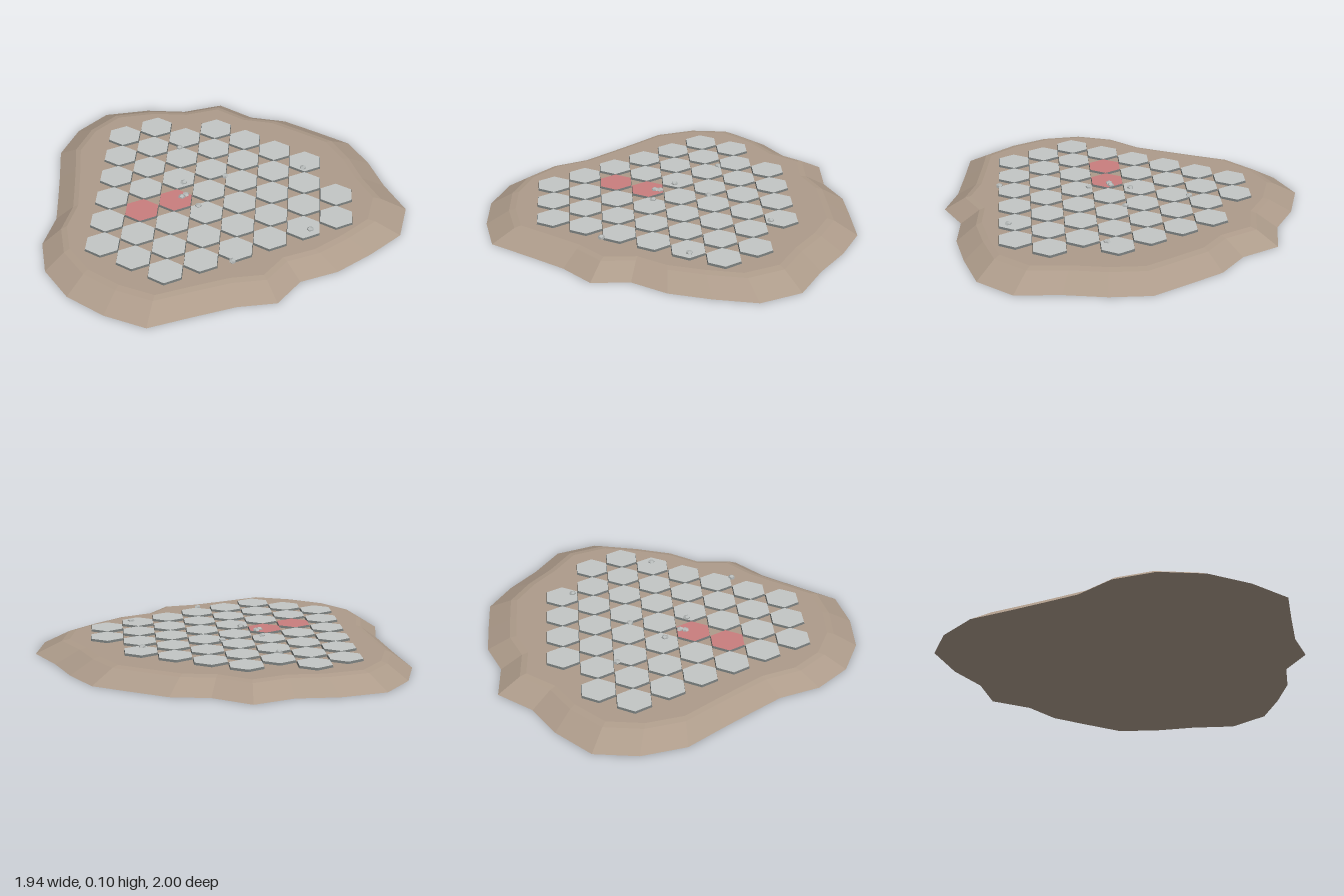
import * as THREE from 'three';

const flat = (name, color) => {
  const m = new THREE.MeshStandardMaterial({ color });
  m.name = name;
  m.flatShading = true;
  return m;
};

// Shoreline of the island, as x, z pairs
const outline = [
  [-0.09, -1.0], [0.10, -0.88], [0.30, -0.85], [0.48, -0.75], [0.67, -0.64], [0.78, -0.45], [0.86, -0.24],
  [0.97, -0.03], [0.93, 0.20], [0.77, 0.37], [0.60, 0.52], [0.41, 0.61], [0.30, 0.78], [0.10, 0.82],
  [-0.12, 0.91], [-0.33, 1.0], [-0.55, 0.92], [-0.75, 0.79], [-0.89, 0.60], [-0.94, 0.38], [-0.90, 0.16],
  [-0.92, -0.04], [-0.94, -0.22], [-0.97, -0.45], [-0.90, -0.68], [-0.76, -0.86], [-0.52, -0.92], [-0.30, -0.92],
];

// Slab lofted from the shoreline through a sloped rim to a flat top
function islandGeometry() {
  const cx = -0.16;
  const levels = [[1, 0], [0.876, 0.068], [0.84, 0.076]];
  const rings = levels.map(([s, y]) => outline.map(([x, z]) => [cx + (x - cx) * s, y, z * s]));
  const n = outline.length;
  const pos = [];
  const tri = (a, b, c) => pos.push(...a, ...b, ...c);
  for (let i = 0; i < n; i++) {
    const j = (i + 1) % n;
    for (let k = 0; k < rings.length - 1; k++) {
      const low = rings[k], up = rings[k + 1];
      tri(low[i], up[i], low[j]);
      tri(low[j], up[i], up[j]);
    }
    tri([cx, 0.076, 0], rings[2][j], rings[2][i]);
    tri([cx, 0, 0], rings[0][i], rings[0][j]);
  }
  const g = new THREE.BufferGeometry();
  g.setAttribute('position', new THREE.Float32BufferAttribute(pos, 3));
  g.computeVertexNormals();
  return g;
}

export function createModel() {
  const model = new THREE.Group();
  model.name = 'hexTileIsland';
  const earth = flat('earth', 0xad9b8a);
  const stone = flat('tileStone', 0xc2c6c5);
  const edge = flat('tileEdge', 0x747978);
  const red = flat('redTile', 0xc97e7e);
  const rock = flat('pebbleGrey', 0xb4b8b7);

  const island = new THREE.Mesh(islandGeometry(), earth);
  island.name = 'island';
  model.add(island);

  // Hexagonal tiles touching at their corners: first half-row and count per column
  const tiles = new THREE.Group();
  tiles.name = 'tiles';
  model.add(tiles);
  const tileGeo = new THREE.CylinderGeometry(0.096, 0.1, 0.016, 6);
  const columns = [[1, 6], [0, 7], [1, 7], [0, 7], [1, 6], [2, 5], [3, 4], [6, 2]];
  columns.forEach(([first, count], c) => {
    for (let r = 0; r < count; r++) {
      const k = first + 2 * r;
      const isRed = (c === 1 && k === 8) || (c === 2 && k === 7);
      const top = isRed ? red : stone;
      const tile = new THREE.Mesh(tileGeo, [edge, top, edge]);
      tile.name = isRed ? 'redTile' : 'tile';
      tile.position.set(-0.608 + 0.171 * c, 0.08, -0.62 + 0.099 * k);
      tiles.add(tile);
    }
  });

  // Scattered pebbles
  const pebbles = new THREE.Group();
  pebbles.name = 'pebbles';
  model.add(pebbles);
  const pebbleGeo = new THREE.DodecahedronGeometry(0.019, 0);
  const spots = [
    [-0.285, -0.415], [0.41, -0.26], [-0.015, -0.16], [-0.235, -0.085], [-0.215, 0.025],
    [-0.235, 0.045], [-0.14, 0.12], [0.455, 0.29], [0.065, 0.57],
  ];
  spots.forEach(([x, z], i) => {
    const p = new THREE.Mesh(pebbleGeo, rock);
    p.name = 'pebble';
    p.position.set(x, 0.089, z);
    p.rotation.y = i * 1.3;
    p.scale.y = 0.75;
    pebbles.add(p);
  });
  return model;
}
